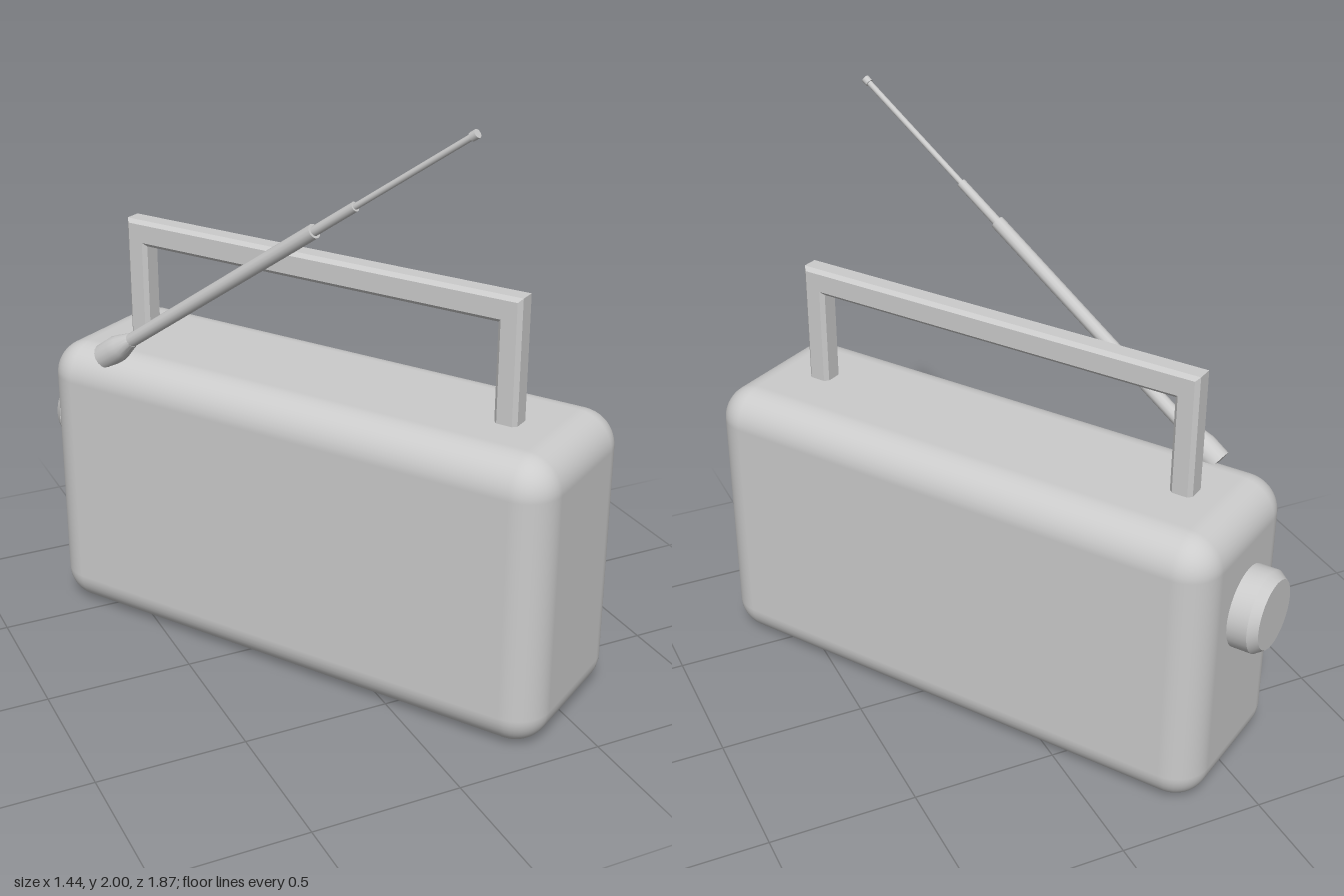
import * as THREE from 'three';
import { toCreasedNormals } from 'three/addons/utils/BufferGeometryUtils.js';
import { RoundedBoxGeometry } from 'three/addons/geometries/RoundedBoxGeometry.js';

const grey = new THREE.MeshStandardMaterial({ color: 0xcccccc });

function part(name, geometry, parent) {
  const mesh = new THREE.Mesh(geometry, grey);
  mesh.name = name;
  parent.add(mesh);
  return mesh;
}

// Turned part with sharp edges kept; profile is [radius, height] pairs
function turned(profile, sides) {
  const points = profile.map(([r, y]) => new THREE.Vector2(r, y));
  return toCreasedNormals(new THREE.LatheGeometry(points, sides), 0.5);
}

// Arch-shaped carrying handle with chamfered edges
function handleGeometry() {
  const b = 0.013, outer = 0.75 - b, inner = 0.67 + b, top = 0.42 - b, under = 0.33 + b, foot = -0.04;
  const shape = new THREE.Shape([
    [-outer, foot], [-inner, foot], [-inner, under], [inner, under],
    [inner, foot], [outer, foot], [outer, top], [-outer, top],
  ].map(([x, y]) => new THREE.Vector2(x, y)));
  const depth = 0.08 - 2 * b;
  const g = new THREE.ExtrudeGeometry(shape, {
    depth, bevelEnabled: true, bevelThickness: b, bevelSize: b, bevelSegments: 1,
  });
  g.translate(0, 0, -depth / 2);
  return g;
}

export function createModel() {
  const model = new THREE.Group();
  model.name = 'portableRadio';

  // Case, handle and knob share one turned frame
  const radio = new THREE.Group();
  radio.name = 'radio';
  radio.position.z = 0.013;
  radio.rotation.y = -THREE.MathUtils.degToRad(57.6);
  model.add(radio);

  part('case', new RoundedBoxGeometry(1.92, 1, 0.6, 6, 0.12), radio).position.y = 0.5;
  part('handle', handleGeometry(), radio).position.set(-0.013, 1, 0.015);

  // Tuning knob on the end of the case
  const knob = part('knob', turned([
    [0, -0.03], [0.14, -0.03], [0.14, 0.068], [0.118, 0.098], [0, 0.098],
  ], 32), radio);
  knob.position.set(-0.96, 0.65, 0.015);
  knob.rotation.z = Math.PI / 2;

  // Telescopic antenna leaning from the case's top edge
  const base = new THREE.Vector3(-0.585, 1.0, -0.45);
  const direction = new THREE.Vector3(0.1, 1.985, 0.793).sub(base);
  const length = direction.length();
  const antenna = new THREE.Group();
  antenna.name = 'antenna';
  antenna.position.copy(base);
  antenna.quaternion.setFromUnitVectors(new THREE.Vector3(0, 1, 0), direction.normalize());
  model.add(antenna);

  part('antennaSocket', turned([
    [0, -0.025], [0.045, -0.025], [0.046, 0.045], [0.04, 0.075], [0.025, 0.13], [0, 0.13],
  ], 16), antenna);
  const sections = [
    ['lowerTube', 0.024, 0.1, 0.61 * length],
    ['middleTube', 0.016, 0.6 * length, 0.715 * length],
    ['upperTube', 0.01, 0.7 * length, length - 0.01],
    ['antennaTip', 0.014, length - 0.022, length],
  ];
  for (const [name, r, from, to] of sections) {
    part(name, new THREE.CylinderGeometry(r, r, to - from, 12), antenna).position.y = (from + to) / 2;
  }

  return model;
}
